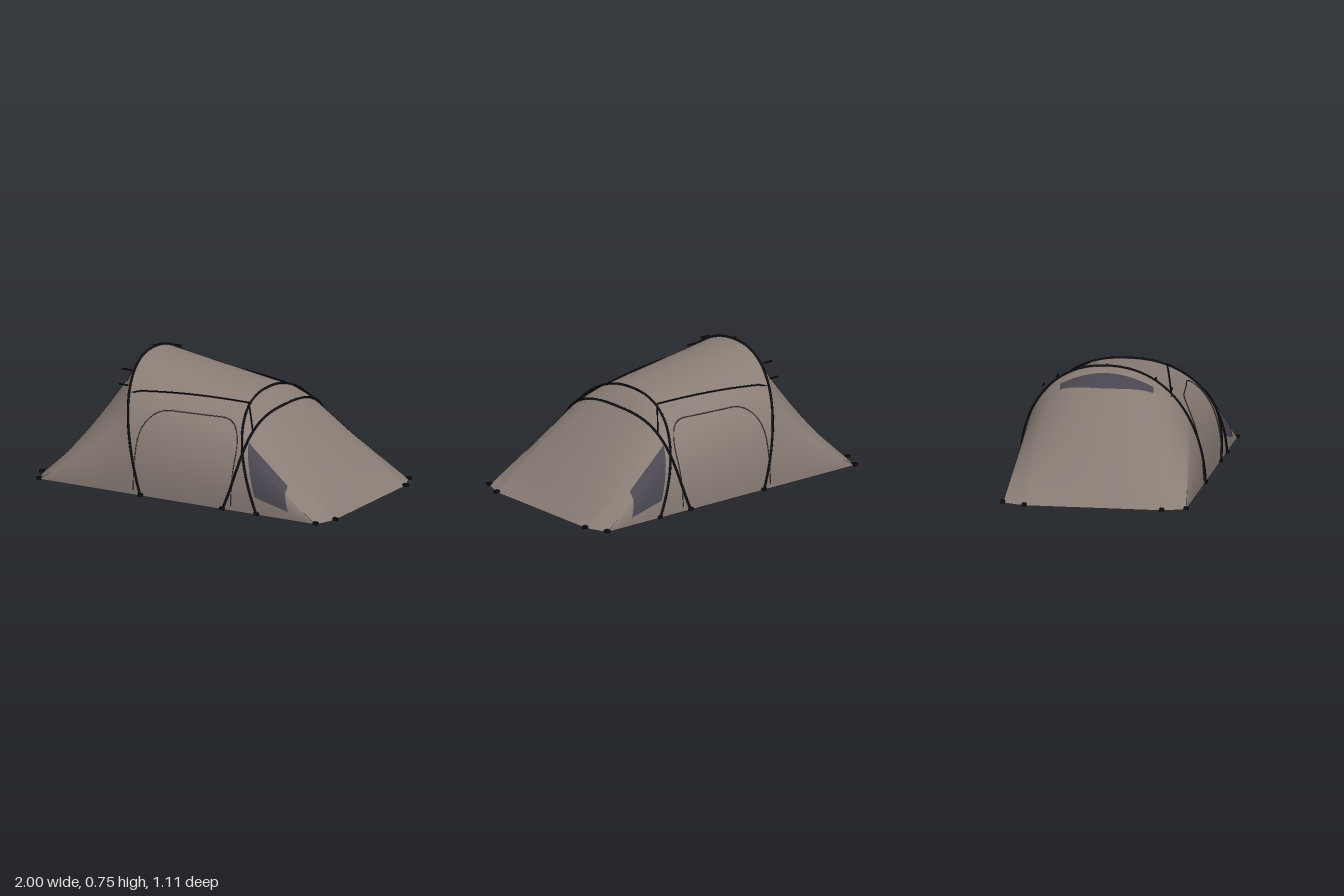
import * as THREE from 'three';

const mat = (name, color, side = THREE.FrontSide) => {
  const m = new THREE.MeshStandardMaterial({ color, side });
  m.name = name;
  return m;
};

// Rounded arch in a leaning plane; u runs from -1 to 1 across the tent
function arch(u, { h, w, n, xAt }, lift = 0) {
  const a = Math.abs(u) * Math.PI / 2;
  const z = (w + lift) * Math.sign(u) * Math.pow(Math.sin(a), 2 / n);
  const y = (h + lift) * Math.pow(Math.max(0, Math.cos(a)), 2 / n);
  return new THREE.Vector3(xAt(y), y, z);
}
const TALL = { h: 0.73, w: 0.54, n: 2.2, xAt: y => -0.245 - 0.308 * y };
const LOW = { h: 0.6, w: 0.54, n: 2.3, xAt: y => 0.535 - 0.395 * y };
const CROSS = { h: 0.512, w: 0.54, n: 2.8, xAt: y => 0.305 + 0.45 * y - 0.47 * y * y };

// Ground hem of an end wall, with its cut-off corners
function hem(u, side) {
  const a = Math.abs(u), s = Math.sign(u);
  if (a < 0.5) return new THREE.Vector3(0.98 * side, 0, 0.41 * u / 0.5);
  const k = Math.min(1, (a - 0.5) / 0.15);
  return new THREE.Vector3((0.98 - 0.05 * k) * side, 0, s * (0.41 + 0.13 * k));
}

// Surface over a grid of fn(u, v), both 0..1
function patch(fn, nu, nv) {
  const pos = [], idx = [];
  for (let j = 0; j <= nv; j++)
    for (let i = 0; i <= nu; i++) {
      pos.push(...fn(i / nu, j / nv).toArray());
      if (i < nu && j < nv) {
        const a = j * (nu + 1) + i, b = a + nu + 1;
        idx.push(a, b, a + 1, a + 1, b, b + 1);
      }
    }
  const g = new THREE.BufferGeometry();
  g.setAttribute('position', new THREE.Float32BufferAttribute(pos, 3));
  g.setIndex(idx);
  g.computeVertexNormals();
  return g;
}

export function createModel() {
  const group = new THREE.Group();
  const fabric = mat('taupe fabric', 0x8a7d76, THREE.DoubleSide);
  const tint = mat('tinted window', 0x4b4751, THREE.DoubleSide);
  const black = mat('black pole', 0x14151c);
  const seamMat = mat('seam grey', 0x59514e);

  const add = (name, geo, material) => {
    const m = new THREE.Mesh(geo, material);
    m.name = name;
    group.add(m);
    return m;
  };
  const tube = (name, pts, r, material, steps = pts.length * 2) =>
    add(name, new THREE.TubeGeometry(new THREE.CatmullRomCurve3(pts), steps, r, 6), material);

  // Fabric panels, ruled between hoops and ground, with a slight sag or bulge
  const panel = (name, from, to, bulge) => add(name, patch((s, t) => {
    const u = s * 2 - 1;
    const p = from(u), rise = p.y;
    p.lerp(to(u), t);
    p.y += bulge * rise * Math.sin(Math.PI * Math.sqrt(t));
    return p;
  }, 80, 16), fabric);
  const skin = [
    panel('roofPanel', u => arch(u, TALL), u => arch(u, LOW), 0),
    panel('rightEndPanel', u => arch(u, TALL), u => hem(u, -1), -0.015),
    panel('leftEndPanel', u => arch(u, LOW), u => hem(u, 1), 0.03),
  ];

  // Drops a point on to the fabric along a direction, standing off a little
  const ray = new THREE.Raycaster();
  const drape = (p, dir, off) => {
    ray.set(p.clone().addScaledVector(dir, -3), dir);
    const hit = ray.intersectObjects(skin)[0];
    return (hit ? hit.point : p.clone()).addScaledVector(dir, -off);
  };

  // Hoop poles
  const hoop = (name, shape, lift) => {
    const pts = [];
    for (let i = 0; i <= 48; i++) pts.push(arch(i / 24 - 1, shape, lift));
    tube(name, pts, 0.0065, black);
  };
  hoop('tallHoop', TALL, 0.005);
  hoop('lowHoop', LOW, 0.005);
  hoop('crossingHoop', CROSS, 0.006);

  // Window in the tall end, following the hoop above it
  const inX = new THREE.Vector3(1, 0, 0);
  add('endWindow', patch((s, t) => {
    const z = (s * 2 - 1) * 0.275, e = Math.pow(Math.abs(s * 2 - 1), 4);
    const top = 0.695 - 1.05 * z * z, low = 0.615 - 0.03 * e;
    return drape(new THREE.Vector3(-0.5, low + (top - low) * t, z), inX, 0.004);
  }, 24, 6), tint);

  const down = new THREE.Vector3(0, -1, 0);
  const peg = (x, z) => {
    const g = new THREE.BoxGeometry(0.028, 0.016, 0.024);
    g.translate(x, 0.008, z);
    add('groundPeg', g, black);
  };

  for (const s of [1, -1]) {
    const inward = new THREE.Vector3(0, 0, -s);

    // Side window
    const [A, B, C, D] = [[0.415, 0.395], [0.70, 0.182], [0.745, 0.05], [0.52, 0.105]]
      .map(([x, y]) => new THREE.Vector3(x, y, 0));
    add('sideWindow', patch((u, v) => {
      const p = A.clone().lerp(B, u).lerp(D.clone().lerp(C, u), v);
      return drape(p, inward, 0.005);
    }, 12, 12), tint);

    // Door seam
    const door = new THREE.Path();
    door.moveTo(-0.297, 0.03);
    door.lineTo(-0.297, 0.29);
    door.bezierCurveTo(-0.295, 0.42, -0.23, 0.5, -0.12, 0.5);
    door.lineTo(0.2, 0.5);
    door.bezierCurveTo(0.3, 0.5, 0.358, 0.42, 0.358, 0.31);
    door.lineTo(0.358, 0.03);
    const seam = door.getSpacedPoints(60)
      .map(p => drape(new THREE.Vector3(p.x, p.y, 0), inward, 0.001));
    tube('doorSeam', seam, 0.0028, seamMat);

    // Guy line over the roof and down to the crossing hoop
    const line = (name, x0, z0, x1, z1) => {
      const pts = [];
      for (let i = 0; i <= 10; i++) {
        const k = i / 10;
        pts.push(drape(new THREE.Vector3(x0 + (x1 - x0) * k, 0, s * (z0 + (z1 - z0) * k)), down, 0.005));
      }
      tube(name, pts, 0.0045, black);
    };
    line('roofLine', -0.43, 0.372, 0.3, 0.23);
    line('endLine', 0.3, 0.23, 0.41, 0.37);

    // Short toggles on the tall hoop
    for (const [x, y, z] of [[-0.485, 0.668, 0.288], [-0.455, 0.603, 0.378]]) {
      const g = new THREE.BoxGeometry(0.06, 0.008, 0.008);
      g.translate(x, y, s * z);
      add('hoopToggle', g, black);
    }

    // Pegs at hoop feet and hem corners
    for (const x of [-0.245, 0.305, 0.535]) peg(x, s * 0.543);
    for (const e of [1, -1]) {
      peg(e * 0.93, s * 0.54);
      peg(e * 0.986, s * 0.405);
    }
  }

  // Small tip on the tall hoop
  const tip = new THREE.CylinderGeometry(0.003, 0.006, 0.02, 6);
  tip.translate(-0.473, 0.74, 0);
  add('hoopTip', tip, black);

  return group;
}
